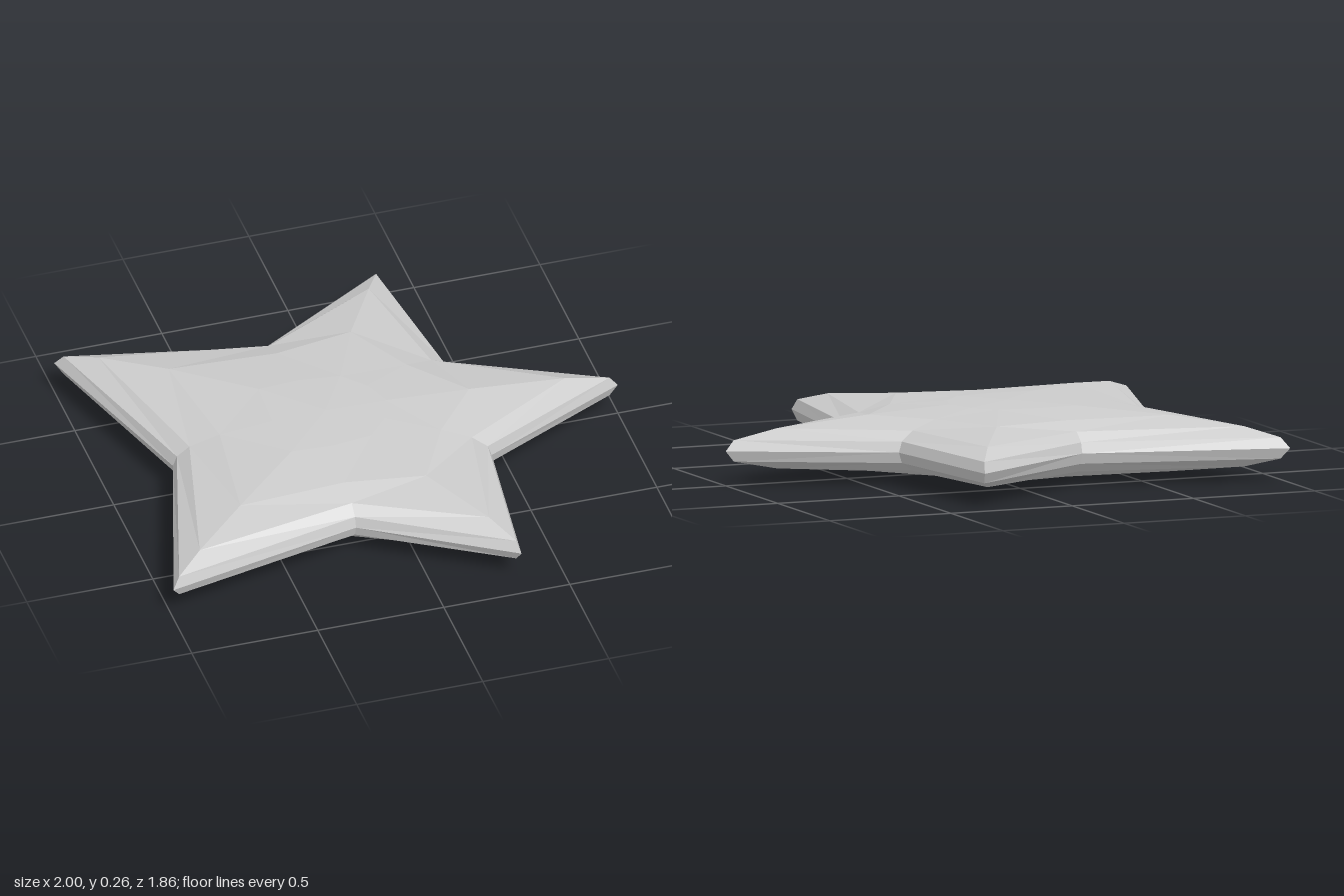
import * as THREE from 'three';

const MID = 0.132; // height of the widest outline

// Half outlines from the +x tip round to the -x notch (x, z), widest first,
// each with its height above or below the middle.
const RINGS = [
  { h: 0, half: [[1, 0], [0.41, 0.29], [0.33, 0.93], [-0.22, 0.585], [-1, 0.765], [-0.765, 0]] },
  { h: 0.041, half: [[0.967, 0], [0.396, 0.285], [0.319, 0.9], [-0.22, 0.572], [-0.97, 0.742], [-0.75, 0]] },
  { h: 0.077, half: [[0.79, 0], [0.34, 0.26], [0.25, 0.77], [-0.22, 0.53], [-0.86, 0.65], [-0.7, 0]] },
  { h: 0.108, half: [[0.41, 0], [0.23, 0.22], [0.09, 0.485], [-0.22, 0.435], [-0.64, 0.46], [-0.58, 0]] },
  { h: 0.127, half: [[0.08, 0], [0.04, 0.11], [-0.04, 0.2], [-0.2, 0.22], [-0.36, 0.21], [-0.37, 0]] },
];

// Mirror a half outline across z = 0 into a closed ten-point star
function closeOutline(half) {
  const back = half.slice(1, -1).reverse().map(([x, z]) => [x, -z]);
  return [...half, ...back];
}

// One domed face of the star: side = 1 for the top, -1 for the underside
function domeGeometry(side) {
  const loops = RINGS.map(({ h, half }) =>
    closeOutline(half).map(([x, z]) => [x, MID + side * h, z]));
  const centre = [-0.16, MID + side * 0.132, 0];
  const positions = [];
  const tri = (a, b, c) => positions.push(...a, ...(side > 0 ? b : c), ...(side > 0 ? c : b));

  for (let r = 0; r < loops.length; r++) {
    const outer = loops[r];
    const inner = loops[r + 1];
    for (let i = 0; i < outer.length; i++) {
      const j = (i + 1) % outer.length;
      if (!inner) {
        tri(outer[i], centre, outer[j]);
      } else if (i % 2 === 0) { // from tip to notch
        tri(outer[i], inner[i], outer[j]);
        tri(outer[j], inner[i], inner[j]);
      } else { // from notch to tip
        tri(outer[i], inner[j], outer[j]);
        tri(outer[i], inner[i], inner[j]);
      }
    }
  }
  const geometry = new THREE.BufferGeometry();
  geometry.setAttribute('position', new THREE.Float32BufferAttribute(positions, 3));
  geometry.computeVertexNormals();
  return geometry;
}

export function createModel() {
  const group = new THREE.Group();
  group.name = 'star';
  const material = new THREE.MeshStandardMaterial({ color: 0xcccccc, flatShading: true });
  for (const [name, side] of [['starTop', 1], ['starUnderside', -1]]) {
    const mesh = new THREE.Mesh(domeGeometry(side), material);
    mesh.name = name;
    group.add(mesh);
  }
  return group;
}
